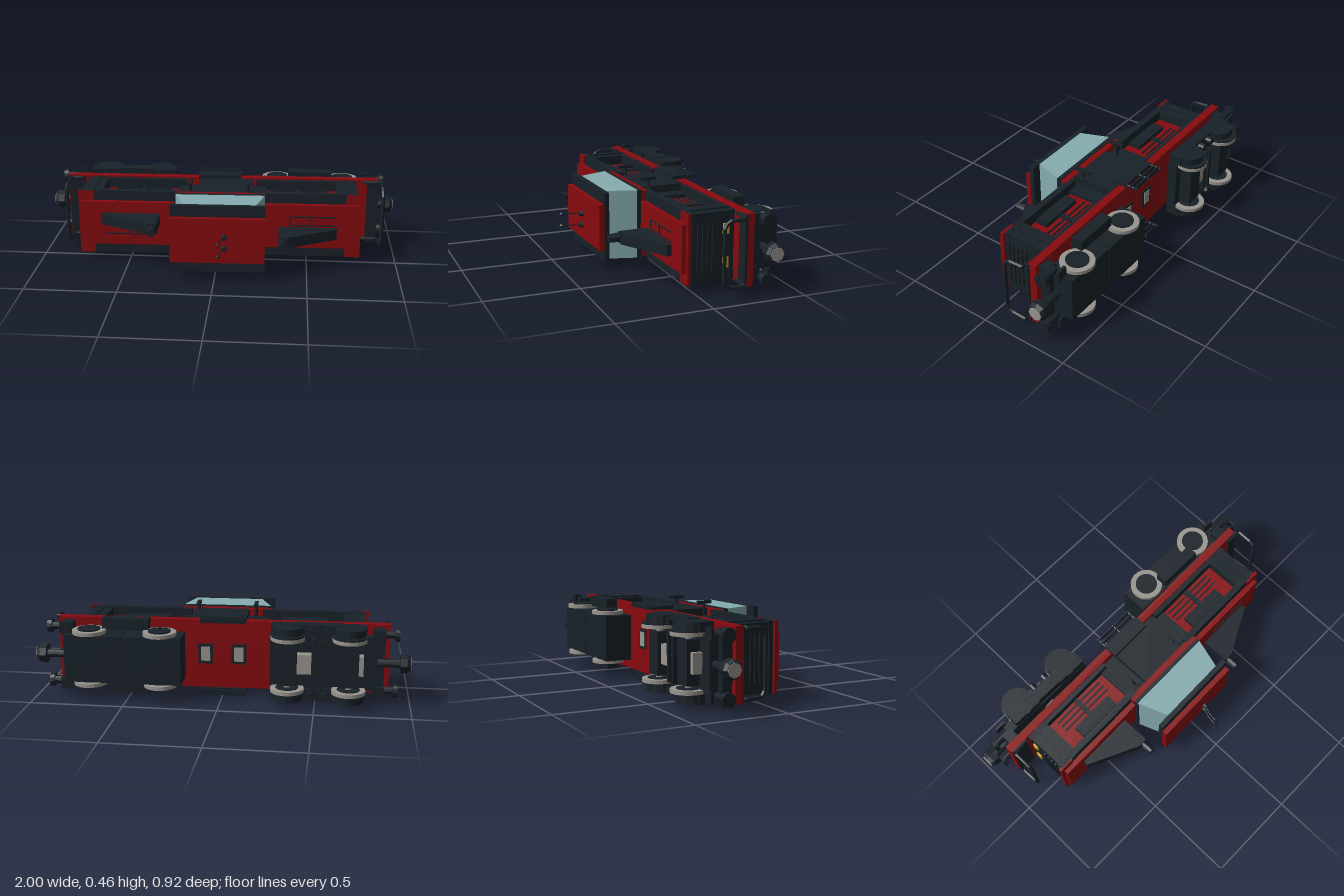
import * as THREE from 'three';

const mats = {};
for (const [k, c] of Object.entries({ red: 0x860a0e, dark: 0x182128, glass: 0x86acb0, yellow: 0xc8a020, grey: 0x99958f })) {
  mats[k] = new THREE.MeshStandardMaterial({ color: c, flatShading: true });
}
const C = 0.232; // centre line across the vehicle (it lies on its side: +z is its roof)

function add(parent, name, mat, geo) {
  const m = new THREE.Mesh(geo, mats[mat]);
  m.name = name;
  parent.add(m);
  return m;
}
// box from its limits
function box(p, name, mat, x0, x1, y0, y1, z0, z1) {
  const g = new THREE.BoxGeometry(x1 - x0, y1 - y0, z1 - z0);
  g.translate((x0 + x1) / 2, (y0 + y1) / 2, (z0 + z1) / 2);
  return add(p, name, mat, g);
}
// outline in x and z, extruded across y
function prism(p, name, mat, pts, y0, y1) {
  const g = new THREE.ExtrudeGeometry(new THREE.Shape(pts.map(a => new THREE.Vector2(...a))),
    { depth: y1 - y0, bevelEnabled: false });
  g.rotateX(Math.PI / 2).translate(0, y1, 0);
  return add(p, name, mat, g);
}
// cylinder along x, y or z
function cyl(p, name, mat, axis, r0, r1, len, x, y, z, n = 16) {
  const g = new THREE.CylinderGeometry(r1, r0, len, n);
  if (axis === 'x') g.rotateZ(-Math.PI / 2);
  if (axis === 'z') g.rotateX(Math.PI / 2);
  g.translate(x, y, z);
  return add(p, name, mat, g);
}
function tube(p, name, mat, pts, r) {
  const path = new THREE.CurvePath();
  const v = pts.map(a => new THREE.Vector3(...a));
  for (let i = 1; i < v.length; i++) path.add(new THREE.LineCurve3(v[i - 1], v[i]));
  return add(p, name, mat, new THREE.TubeGeometry(path, (v.length - 1) * 4, r, 6));
}

function addHood(body, s) {
  const hood = new THREE.Group();
  hood.name = s > 0 ? 'leftHood' : 'rightHood';
  body.add(hood);
  const b = (name, mat, a, c, ...rest) => box(hood, name, mat, Math.min(s * a, s * c), Math.max(s * a, s * c), ...rest);
  b('hoodCore', 'red', 0.2, 0.75, 0.11, 0.355, -0.2, 0.03);
  b('hoodTop', 'dark', 0.2, 0.77, 0.05, 0.415, 0.02, 0.055);
  b('hoodRoof', 'red', 0.2, 0.765, 0.11, 0.36, 0.05, 0.085);
  b('hoodRoofEnd', 'red', 0.7, 0.785, 0.05, 0.415, 0.045, 0.062);
  b('endPillar', 'dark', 0.65, 0.765, 0.055, 0.41, -0.2, 0.03);
  // end grille and lamps
  for (let i = 0; i < 5; i++) b('grilleBar', 'dark', 0.76, 0.775, 0.11, 0.355, -0.09 + i * 0.027, -0.078 + i * 0.027);
  for (const y of [0.145, 0.32]) b('lamp', 'yellow', 0.76, 0.775, y - 0.027, y + 0.027, -0.17, -0.138);
  // equipment in the side recesses
  for (const t of [-1, 1]) {
    const side = (name, x0, x1, d0, d1, z0, z1) => {
      const y = [C + t * d0, C + t * d1].sort((m, n) => m - n);
      b(name, 'dark', x0, x1, y[0], y[1], z0, z1);
    };
    side('sidePillar', 0.43, 0.455, 0.12, 0.135, -0.2, 0.02);
    side('sideSill', 0.2, 0.77, 0.12, 0.18, -0.2, -0.175);
    side('louvreBox', 0.31, 0.56, 0.12, 0.15, -0.06, 0.01);
    for (let i = 0; i < 3; i++) side('louvre', 0.28, 0.6, 0.12, 0.13, -0.155 + i * 0.03, -0.147 + i * 0.03);
    side('endRib', 0.7, 0.72, 0.17, 0.186, -0.2, 0.04);
  }
  // exhaust fairing and stack, off centre
  const y0 = s > 0 ? 0.172 : 0.237, y1 = y0 + 0.06;
  const pts = [[0.65, 0.075], [0.65, 0.11], [0.38, 0.245], [0.33, 0.245], [0.33, 0.075]].map(q => [s * q[0], q[1]]);
  prism(hood, 'exhaustFairing', 'dark', pts, y0, y1);
  const sy = s > 0 ? 0.205 : 0.268;
  cyl(hood, 'exhaustNeck', 'dark', 'z', 0.017, 0.017, 0.03, s * 0.352, sy, 0.245, 10);
  cyl(hood, 'exhaustStack', 'dark', 'z', 0.026, 0.022, 0.055, s * 0.352, sy, 0.281, 10);
  // hatch frame beside the fairing
  const h0 = s > 0 ? 0.24 : 0.172;
  b('hatchEdge', 'dark', 0.39, 0.64, h0, h0 + 0.006, 0.08, 0.09);
  b('hatchEdge', 'dark', 0.39, 0.64, h0 + 0.05, h0 + 0.056, 0.08, 0.09);
  b('hatchEdge', 'dark', 0.39, 0.396, h0, h0 + 0.056, 0.08, 0.09);
  b('hatchEdge', 'dark', 0.5, 0.506, h0, h0 + 0.056, 0.08, 0.09);
}

function addEnd(body, s) {
  const end = new THREE.Group();
  end.name = s > 0 ? 'leftEnd' : 'rightEnd';
  body.add(end);
  const X = (a, c) => [Math.min(s * a, s * c), Math.max(s * a, s * c)];
  box(end, 'endDeck', 'dark', ...X(s > 0 ? 0.835 : 0.79, s > 0 ? 0.9 : 0.885), 0.05, 0.415, -0.205, -0.192);
  box(end, 'bufferBeam', 'dark', ...X(0.8, 0.86), 0.06, 0.405, -0.3, -0.24);
  // rail across the deck end
  const r = s > 0 ? 0.915 : -0.877, foot = s * 0.81;
  tube(end, 'endRail', 'dark', [[foot, 0.06, -0.195], [r, 0.06, -0.185], [r, 0.065, -0.09],
    [r, 0.095, -0.07], [r, 0.37, -0.07], [r, 0.4, -0.09], [r, 0.405, -0.185], [foot, 0.405, -0.195]], 0.011);
  // buffers
  for (const y of [0.08, 0.385]) {
    cyl(end, 'bufferStem', 'dark', 'x', 0.02, 0.02, 0.1, s * 0.87, y, -0.305, 10);
    cyl(end, 'bufferHead', 'dark', 'x', 0.037, 0.037, 0.025, s * 0.92, y, -0.305, 12);
    box(end, 'footStep', 'dark', ...X(0.8, 0.86), y - 0.03, y + 0.03, -0.36, -0.345);
  }
  // centre coupler
  cyl(end, 'couplerStem', 'dark', 'x', 0.022, 0.022, 0.16, s * 0.88, C, -0.315, 10);
  cyl(end, 'couplerHead', 'dark', 'x', 0.052, 0.052, 0.035, s * 0.957, C, -0.315, 8);
  cyl(end, 'couplerNose', 'dark', 'x', s > 0 ? 0.052 : 0.04, s > 0 ? 0.04 : 0.052, 0.02, s * 0.9845, C, -0.315, 8);
  cyl(end, 'couplerFace', 'grey', 'x', 0.037, 0.037, 0.006, s * 0.995, C, -0.315, 8);
}

function addBogie(root, name, xs, covered) {
  const g = new THREE.Group();
  g.name = name;
  root.add(g);
  const mid = (xs[0] + xs[1]) / 2;
  for (const x of xs) {
    cyl(g, 'axle', 'grey', 'y', 0.018, 0.018, 0.28, x, C, -0.365, 10);
    for (const t of [-1, 1]) {
      cyl(g, 'wheel', 'grey', 'y', 0.089, 0.089, 0.02, x, C + t * 0.14, -0.367, 28);
      cyl(g, 'wheelCentre', 'dark', 'y', 0.06, 0.06, 0.03, x, C + t * 0.142, -0.367, 20);
      if (!covered) {
        // dark outer wheel face with an arched guard and axle box
        cyl(g, 'wheelFace', 'dark', 'y', 0.088, 0.088, 0.01, x, C + t * 0.154, -0.367, 28);
        cyl(g, 'wheelGuard', 'dark', 'y', 0.08, 0.08, 0.04, x, C + t * 0.178, -0.35, 16);
        box(g, 'guardLeg', 'dark', x - 0.088, x + 0.088, C + t * 0.175 - 0.025, C + t * 0.175 + 0.025, -0.35, -0.275);
      }
    }
  }
  if (covered) {
    for (const x of [0.2, 0.515]) box(g, 'bottomCover', 'dark', x, x + 0.31, 0.105, 0.36, -0.428, -0.275);
    box(g, 'coverJoint', 'dark', 0.5, 0.53, 0.115, 0.35, -0.422, -0.28);
  } else {
    box(g, 'bogieFrame', 'dark', -0.82, -0.26, 0.09, 0.375, -0.33, -0.275);
    for (const x of xs) box(g, 'motorCase', 'dark', x - 0.05, x + 0.05, 0.12, 0.345, -0.4, -0.32);
    for (const d of [-0.19, 0.08]) box(g, 'gearPlate', 'grey', mid + d - 0.045, mid + d + 0.045, 0.18, 0.285, -0.38, -0.32);
    for (const d of [-0.025, 0.025]) box(g, 'crossRib', 'dark', mid + d - 0.01, mid + d + 0.01, 0.1, 0.365, -0.385, -0.32);
  }
  for (const t of [-1, 1]) {
    box(g, 'springBeam', 'dark', mid - 0.125, mid + 0.125, C + t * 0.175 - 0.03, C + t * 0.175 + 0.03, -0.345, -0.28);
    if (!covered) for (const d of [-0.04, 0.04]) cyl(g, 'spring', 'dark', 'z', 0.02, 0.02, 0.05, mid + d, C + t * 0.175, -0.355, 10);
  }
  cyl(g, 'pivot', 'dark', 'z', 0.08, 0.08, 0.07, mid, C, -0.26, 16);
}

export function createModel() {
  const root = new THREE.Group();
  root.name = 'locomotive';
  const body = new THREE.Group();
  body.name = 'body';
  body.rotation.y = 0.0215; // body leans slightly on its bogies
  body.position.x = 0.008;
  root.add(body);

  // frame
  box(body, 'frame', 'red', -0.89, 0.89, 0.045, 0.42, -0.245, -0.2);
  for (const x of [-0.09, 0.09]) {
    box(body, 'hatchFrame', 'dark', x - 0.04, x + 0.04, 0.18, 0.29, -0.25, -0.24);
    box(body, 'hatch', 'grey', x - 0.025, x + 0.025, 0.195, 0.275, -0.253, -0.245);
  }
  for (const s of [-1, 1]) {
    addHood(body, s);
    addEnd(body, s);
  }

  // cab
  box(body, 'cabBase', 'dark', -0.24, 0.26, 0.09, 0.375, -0.2, 0.05);
  box(body, 'cabWall', 'dark', -0.12, 0.18, 0.05, 0.415, -0.195, 0.045);
  box(body, 'cabBelt', 'red', -0.245, 0.255, 0.05, 0.415, 0.045, 0.08);
  box(body, 'cabSill', 'dark', -0.245, 0.257, 0.045, 0.42, 0.08, 0.105);
  prism(body, 'cabGlass', 'glass', [[-0.24, 0.1], [0.254, 0.1], [0.203, 0.27], [-0.177, 0.27]], 0.045, 0.42);
  box(body, 'cabRoofEdge', 'dark', -0.252, 0.257, 0.045, 0.422, 0.265, 0.292);
  box(body, 'cabRoof', 'red', -0.252, 0.257, 0.108, 0.36, 0.29, 0.321);

  // horns
  for (const y of [0.2, 0.265]) {
    cyl(body, 'hornBell', 'dark', 'z', 0.018, 0.012, 0.02, 0.04, y, 0.347, 8);
    tube(body, 'hornStem', 'dark', [[0.04, y, 0.335], [0.037, y, 0.36], [0.022, y, 0.39], [0.014, y, 0.45]], 0.003);
    add(body, 'hornTip', 'dark', new THREE.OctahedronGeometry(0.011).translate(0.014, y, 0.45));
  }

  // side steps and grab posts
  for (const t of [-1, 1]) {
    const y = C + t * 0.2;
    box(body, 'stepPlate', 'dark', -0.13, 0.115, y - 0.01, y + 0.01, -0.25, -0.17);
    for (const x of [-0.123, -0.008, 0.107]) tube(body, 'stepPost', 'dark', [[x, y, -0.18], [x, y, -0.31]], 0.006);
    for (const z of [-0.3, -0.275]) box(body, 'step', 'dark', -0.128, 0.112, y - 0.012, y + 0.012, z - 0.004, z + 0.004);
    for (const x of [-0.163, 0.157]) {
      cyl(body, 'grabPost', 'dark', 'y', 0.009, 0.009, 0.07, x, C + t * 0.19, 0, 8);
      box(body, 'grabPlate', 'dark', x - 0.01, x + 0.01, C + t * 0.222 - 0.008, C + t * 0.222 + 0.008, -0.042, 0.042);
    }
  }

  addBogie(root, 'rightBogie', [-0.675, -0.355], false);
  addBogie(root, 'leftBogie', [0.32, 0.7], true);
  return root;
}
